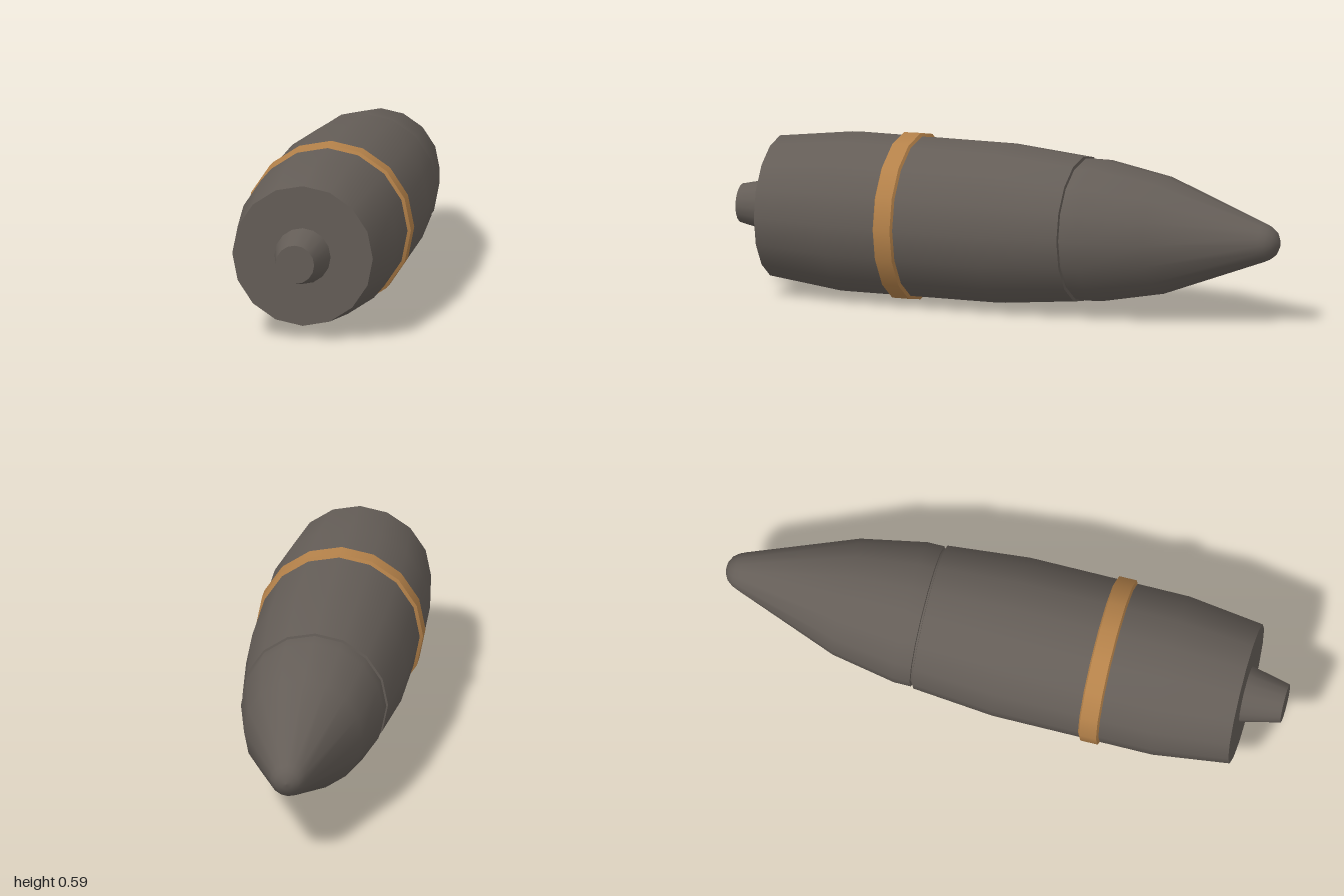
import * as THREE from 'three';

const SIDES = 16;
const AXIS_Y = 0.295;

export function createModel() {
  const model = new THREE.Group();
  const steel = new THREE.MeshStandardMaterial({ color: 0x645d57 });
  steel.name = 'dark steel';
  const copper = new THREE.MeshStandardMaterial({ color: 0xb5824a });
  copper.name = 'copper';

  // Turned part along z; each run of [z, radius] points is smooth, edges between runs are sharp.
  function turned(name, material, ...runs) {
    const part = new THREE.Group();
    part.name = name;
    runs.forEach((run, i) => {
      const points = run.map(([z, r]) => new THREE.Vector2(r, z));
      const geometry = new THREE.LatheGeometry(points, SIDES);
      geometry.rotateX(Math.PI / 2);
      const mesh = new THREE.Mesh(geometry, material);
      mesh.name = `${name}Surface${i + 1}`;
      part.add(mesh);
    });
    part.position.y = AXIS_Y;
    model.add(part);
  }

  // Pointed nose with a rounded tip
  turned('noseCone', steel,
    [[-1, 0], [-0.997, 0.02], [-0.985, 0.043], [-0.965, 0.058], [-0.945, 0.067],
      [-0.57, 0.207], [-0.34, 0.25], [-0.28, 0.25]],
    [[-0.28, 0.25], [-0.278, 0.243]]);

  // Narrow groove between nose and body
  turned('noseGroove', steel, [[-0.28, 0.243], [-0.27, 0.243]]);

  // Main body, tapered at both ends, with a flat base
  turned('body', steel,
    [[-0.272, 0.243], [-0.27, 0.255]],
    [[-0.27, 0.255], [0.02, 0.282], [0.59, 0.282], [0.86, 0.248]],
    [[0.86, 0.248], [0.86, 0]]);

  // Raised band with bevelled edges
  turned('drivingBand', copper,
    [[0.33, 0.28], [0.337, 0.293]],
    [[0.337, 0.293], [0.398, 0.293]],
    [[0.398, 0.293], [0.405, 0.28]]);

  // Tapered stub on the base
  turned('baseStub', steel,
    [[0.86, 0.099], [1, 0.068]],
    [[1, 0.068], [1, 0]]);

  return model;
}
